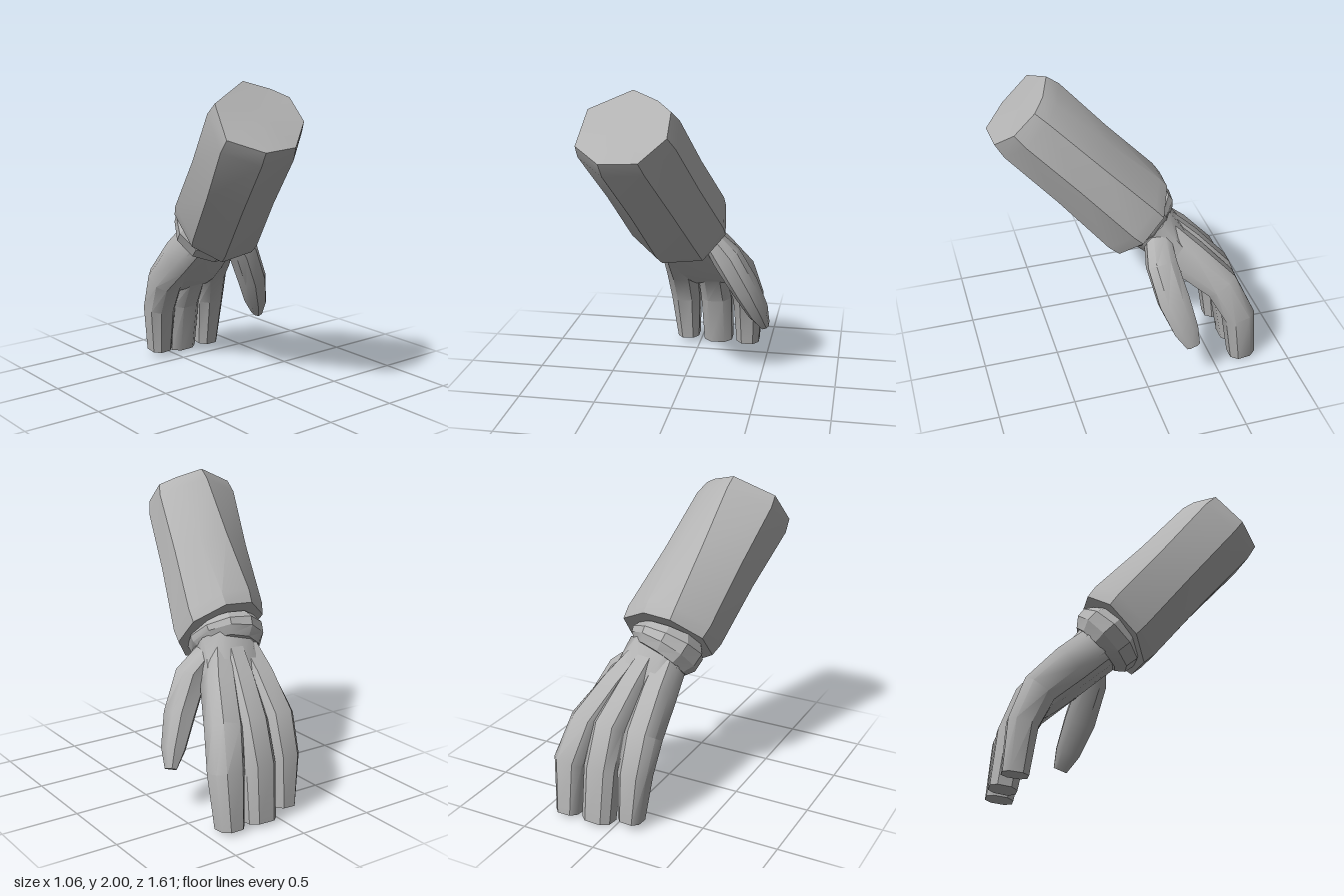
import * as THREE from 'three';
import { toCreasedNormals } from 'three/addons/utils/BufferGeometryUtils.js';

const V = (p) => new THREE.Vector3(p[0], p[1], p[2]);
const centreOf = (ring) =>
  ring.reduce((sum, p) => sum.add(p), new THREE.Vector3()).divideScalar(ring.length);

// Skin a list of equal-sized rings and close both ends with fans.
function skin(rings, crease) {
  const n = rings[0].length;
  const tris = [];
  for (let i = 0; i < rings.length - 1; i++) {
    for (let j = 0; j < n; j++) {
      const k = (j + 1) % n;
      const [a, b, c, d] = [rings[i][j], rings[i][k], rings[i + 1][k], rings[i + 1][j]];
      tris.push([a, b, c], [a, c, d]);
    }
  }
  const first = rings[0], last = rings[rings.length - 1];
  const c0 = centreOf(first), c1 = centreOf(last);
  for (let j = 0; j < n; j++) {
    const k = (j + 1) % n;
    tris.push([c0, first[k], first[j]], [c1, last[j], last[k]]);
  }
  // Face outward whichever way the rings run.
  const volume = tris.reduce((s, [a, b, c]) =>
    s + a.clone().sub(c0).dot(b.clone().sub(c0).cross(c.clone().sub(c0))), 0);
  const points = tris.flatMap(([a, b, c]) => (volume < 0 ? [a, c, b] : [a, b, c]));
  const geo = new THREE.BufferGeometry().setFromPoints(points);
  return toCreasedNormals(geo, crease);
}

// Rings along a path of [x, y, z, halfWidth, halfThickness]; the width lies across x.
function limbRings(path, section) {
  const wide = new THREE.Vector3(1, 0, 0);
  return path.map((p, i) => {
    const before = V(path[Math.max(i - 1, 0)]);
    const after = V(path[Math.min(i + 1, path.length - 1)]);
    const along = after.sub(before).normalize();
    const across = wide.clone().addScaledVector(along, -wide.dot(along)).normalize();
    const out = new THREE.Vector3().crossVectors(along, across);
    return section.map(([u, v]) =>
      V(p).addScaledVector(across, u * p[3]).addScaledVector(out, v * p[4]));
  });
}

// Chamfered finger section, and a rounder one for the wrist.
const FINGER = [[1, 0.5], [0.5, 1], [-0.5, 1], [-1, 0.5], [-1, -0.5], [-0.55, -1], [0.55, -1], [1, -0.5]];
const ROUND = Array.from({ length: 10 }, (_, i) => {
  const a = (i / 10) * Math.PI * 2;
  return [Math.cos(a), Math.sin(a)];
});

export function createModel() {
  const group = new THREE.Group();
  const grey = new THREE.MeshStandardMaterial({ color: 0xb4b4b4 });
  grey.name = 'plain grey';

  const add = (name, rings, crease = 0.75) => {
    const mesh = new THREE.Mesh(skin(rings, crease), grey);
    mesh.name = name;
    group.add(mesh);
  };

  // Sleeve: eight-sided prism from the elbow cap to the wrist opening
  const elbow = [
    [-0.07, 1.95, 0.5], [0.02, 1.9, 0.57], [0.02, 1.77, 0.7], [-0.13, 1.64, 0.8],
    [-0.36, 1.63, 0.81], [-0.53, 1.7, 0.67], [-0.49, 1.89, 0.51], [-0.23, 2.0, 0.44],
  ].map(V);
  const opening = [
    [0.05, 1.26, -0.25], [0.24, 1.16, -0.17], [0.26, 1.0, -0.03], [0.13, 0.855, 0.09],
    [-0.13, 0.83, 0.11], [-0.3, 0.94, 0.02], [-0.31, 1.12, -0.15], [-0.14, 1.25, -0.26],
  ].map(V);
  const between = (t, swell) => {
    const ring = elbow.map((p, i) => p.clone().lerp(opening[i], t));
    const c = centreOf(ring);
    return ring.map((p) => p.sub(c).multiplyScalar(swell).add(c));
  };
  add('sleeve', [elbow, between(0.09, 1.07), between(0.5, 1.03), between(0.92, 1.05), opening], 0.5);

  // Cuff: a stepped band just inside the sleeve opening
  add('cuff', limbRings([
    [-0.05, 1.07, -0.06, 0.21, 0.21],
    [-0.045, 1.02, -0.1, 0.25, 0.245],
    [-0.035, 0.975, -0.145, 0.24, 0.235],
    [-0.02, 0.94, -0.18, 0.2, 0.185],
  ], ROUND), 0.5);

  // Palm: slab behind the finger bones, ending at the finger webs
  add('palm', limbRings([
    [-0.01, 0.98, -0.14, 0.19, 0.16],
    [0.01, 0.87, -0.24, 0.2, 0.14],
    [0.04, 0.73, -0.36, 0.225, 0.11],
    [0.075, 0.61, -0.48, 0.235, 0.085],
    [0.09, 0.54, -0.55, 0.22, 0.06],
  ], FINGER), 0.9);

  // Fingers: each runs from the wrist over the knuckle to a blunt tip
  const fingers = {
    outerFinger: [
      [-0.11, 0.94, -0.17, 0.085, 0.12],
      [-0.11, 0.77, -0.36, 0.1, 0.125],
      [-0.11, 0.58, -0.55, 0.108, 0.11],
      [-0.1, 0.36, -0.64, 0.1, 0.095],
      [-0.085, 0.045, -0.67, 0.075, 0.08],
    ],
    middleFinger: [
      [0.0, 0.95, -0.18, 0.075, 0.13],
      [0.05, 0.78, -0.37, 0.095, 0.13],
      [0.105, 0.59, -0.57, 0.108, 0.115],
      [0.115, 0.36, -0.67, 0.108, 0.1],
      [0.125, 0.015, -0.715, 0.1, 0.085],
    ],
    innerFinger: [
      [0.08, 0.94, -0.18, 0.075, 0.12],
      [0.18, 0.77, -0.36, 0.095, 0.125],
      [0.28, 0.59, -0.56, 0.105, 0.11],
      [0.34, 0.36, -0.67, 0.103, 0.1],
      [0.34, 0.015, -0.71, 0.08, 0.085],
    ],
  };
  for (const [name, path] of Object.entries(fingers)) add(name, limbRings(path, FINGER));

  // Thumb: splayed out from the wrist
  add('thumb', limbRings([
    [0.14, 0.94, -0.16, 0.06, 0.08],
    [0.25, 0.81, -0.155, 0.09, 0.095],
    [0.37, 0.59, -0.205, 0.085, 0.1],
    [0.455, 0.4, -0.265, 0.065, 0.08],
    [0.5, 0.29, -0.305, 0.03, 0.045],
  ], FINGER));

  return group;
}
